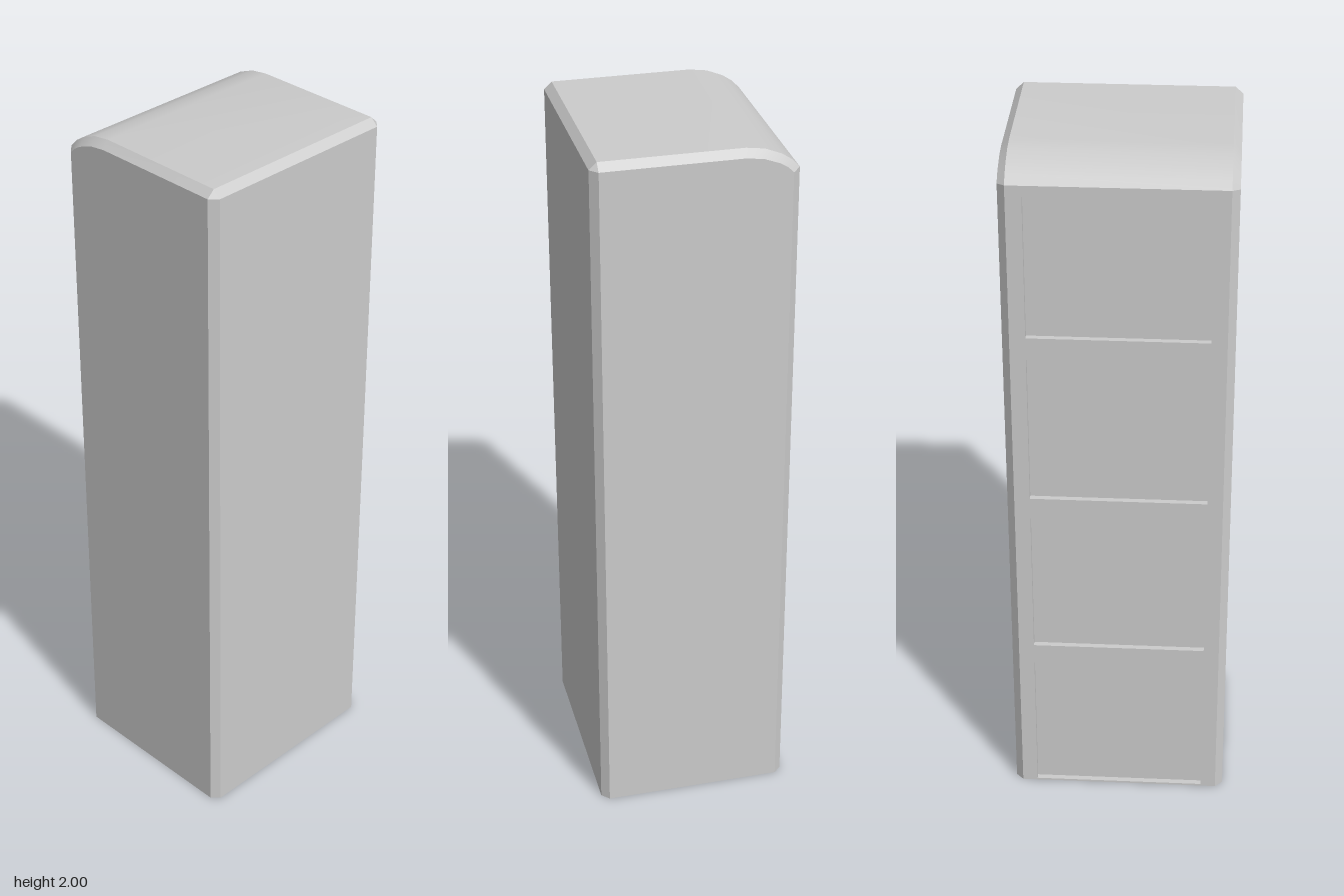
import * as THREE from 'three';
import { toCreasedNormals } from 'three/addons/utils/BufferGeometryUtils.js';

const material = new THREE.MeshStandardMaterial({ color: 0xcccccc });
const FACE_X = 0.286, SIDE_X = 0.307, BACK_Z = -0.273, BACK_TOP = 1.935, RECESS = 0.016;

// Side profiles as [z, y]: the full outline, and the outline inset by the chamfer
const OUTER = [[0.273, 0], [0.273, 1.98], [0.252, 2], [-0.13, 2], [-0.18, 1.993],
  [-0.225, 1.975], [-0.252, 1.957], [BACK_Z, BACK_TOP], [BACK_Z, 0]];
const INNER = [[0.252, 0], [0.252, 1.98], [0.252, 1.98], [-0.125, 1.98], [-0.172, 1.974],
  [-0.215, 1.958], [-0.235, 1.946], [-0.252, 1.93], [-0.252, 0]];

function add(group, name, geometry) {
  const mesh = new THREE.Mesh(geometry, material);
  mesh.name = name;
  group.add(mesh);
  return mesh;
}

// Chamfered shell lofted across x; the flat back is left open for the panelled frame
function shellGeometry() {
  const ring = (profile, x) => profile.map(([z, y]) => new THREE.Vector3(x, y, z));
  const rings = [ring(INNER, SIDE_X), ring(OUTER, FACE_X), ring(OUTER, -FACE_X), ring(INNER, -SIDE_X)];
  const n = OUTER.length;
  const positions = [];
  const triangle = (a, b, c) => {
    if (a.equals(b) || b.equals(c) || c.equals(a)) return;
    for (const p of [a, b, c]) positions.push(p.x, p.y, p.z);
  };
  for (let r = 0; r < 3; r++) {
    for (let i = 0; i < n; i++) {
      if (r === 1 && i === n - 2) continue;
      const j = (i + 1) % n;
      triangle(rings[r][i], rings[r][j], rings[r + 1][j]);
      triangle(rings[r][i], rings[r + 1][j], rings[r + 1][i]);
    }
  }
  // Flat sides
  for (let i = 1; i < n - 1; i++) {
    triangle(rings[0][0], rings[0][i + 1], rings[0][i]);
    triangle(rings[3][0], rings[3][i], rings[3][i + 1]);
  }
  const geometry = new THREE.BufferGeometry();
  geometry.setAttribute('position', new THREE.Float32BufferAttribute(positions, 3));
  return toCreasedNormals(geometry, 0.5);
}

function rectangle(path, halfWidth, bottom, top) {
  path.moveTo(-halfWidth, bottom);
  path.lineTo(halfWidth, bottom);
  path.lineTo(halfWidth, top);
  path.lineTo(-halfWidth, top);
  path.closePath();
  return path;
}

export function createModel() {
  const group = new THREE.Group();
  group.name = 'cabinet';
  add(group, 'shell', shellGeometry());

  // Back frame with four openings
  const frame = rectangle(new THREE.Shape(), FACE_X, 0, BACK_TOP);
  for (const [bottom, top] of [[0.006, 0.437], [0.5, 0.935], [1.0, 1.435], [1.5, 1.905]]) {
    frame.holes.push(rectangle(new THREE.Path(), 0.243, bottom, top));
  }
  const backFrame = add(group, 'backFrame',
    new THREE.ExtrudeGeometry(frame, { depth: RECESS, bevelEnabled: false }));
  backFrame.rotation.y = Math.PI;
  backFrame.position.z = BACK_Z + RECESS;

  // Recessed plate seen through the openings
  const backPlate = add(group, 'backPlate', new THREE.PlaneGeometry(0.52, 1.91));
  backPlate.rotation.y = Math.PI;
  backPlate.position.set(0, 0.957, BACK_Z + RECESS);

  return group;
}
